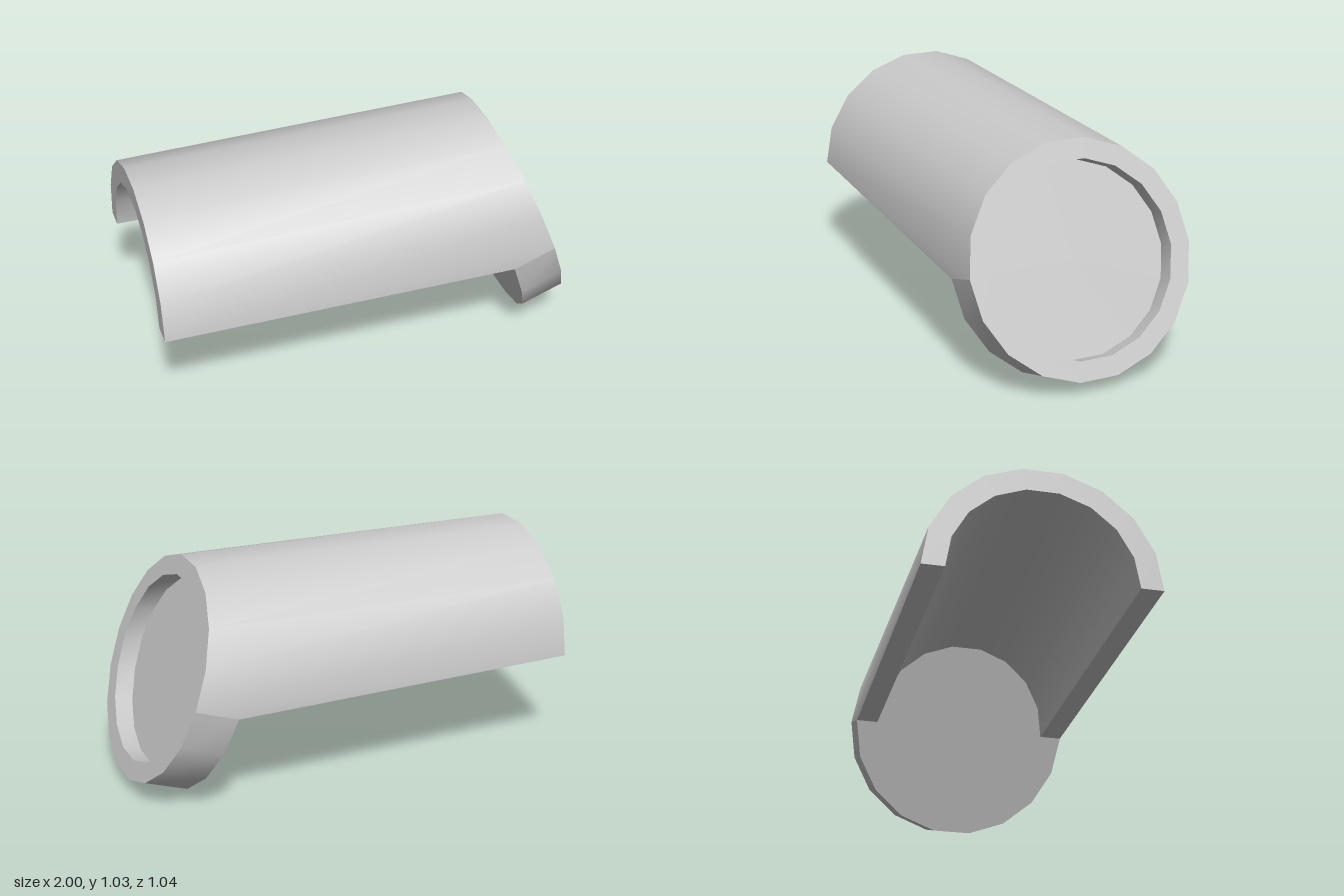
import * as THREE from 'three';
import { toCreasedNormals } from 'three/addons/utils/BufferGeometryUtils.js';

const SIDES = 18, HALF = SIDES / 2;
const OUTER = 0.52, TROUGH_INNER = 0.418, RECESS = 0.43;
const TILT = THREE.MathUtils.degToRad(20);
const axis = new THREE.Vector3(Math.cos(TILT), Math.sin(TILT), 0);
const frontCentre = new THREE.Vector3(0.823, 0.552, 0);
const backCentre = frontCentre.clone().addScaledVector(axis, -0.207);
const floorCentre = frontCentre.clone().addScaledVector(axis, -0.088);
const leftCentre = new THREE.Vector3(-1, 0.49, 0);

// Points of an 18-sided ring, from +z over the top to -z and back underneath
function arc(centre, radius, tilt, from, to) {
  const points = [];
  for (let i = from; i <= to; i++) {
    const a = (i / SIDES) * Math.PI * 2;
    const h = radius * Math.sin(a);
    points.push(new THREE.Vector3(
      centre.x - h * Math.sin(tilt),
      centre.y + h * Math.cos(tilt),
      centre.z + radius * Math.cos(a)
    ));
  }
  return points;
}

// Collects faces and turns them into a mesh with sharp creases
function surface() {
  const tris = [];
  const tri = (a, b, c) => {
    if (a.equals(b) || b.equals(c) || c.equals(a)) return;
    tris.push(a, b, c);
  };
  const quad = (a, b, c, d) => { tri(a, b, c); tri(a, c, d); };
  const strip = (A, B) => {
    for (let i = 0; i < A.length - 1; i++) quad(A[i], B[i], B[i + 1], A[i + 1]);
  };
  const mesh = (name) => {
    const geometry = toCreasedNormals(new THREE.BufferGeometry().setFromPoints(tris), 0.6);
    const m = new THREE.Mesh(geometry, new THREE.MeshStandardMaterial({ color: 0xcccccc }));
    m.name = name;
    return m;
  };
  return { tri, quad, strip, mesh };
}

// Half-pipe running from the open end to the tilted head
function makeTrough() {
  const s = surface();
  const leftOut = arc(leftCentre, OUTER, 0, 0, HALF);
  const leftIn = arc(leftCentre, TROUGH_INNER, 0, 0, HALF);
  const frontOut = arc(frontCentre, OUTER, TILT, 0, HALF);
  const backOut = arc(backCentre, OUTER, TILT, 0, HALF);
  const backIn = arc(backCentre, TROUGH_INNER, TILT, 0, HALF);
  const n = HALF;

  s.strip(leftOut, frontOut); // outside
  s.strip(backIn, leftIn);    // hollow underside
  s.strip(leftIn, leftOut);   // open end

  // side slivers joining the head
  s.tri(leftOut[0], backOut[0], frontOut[0]);
  s.tri(leftOut[n], frontOut[n], backOut[n]);

  // lower lips
  s.quad(leftOut[0], leftIn[0], backIn[0], backOut[0]);
  s.quad(leftOut[n], backOut[n], backIn[n], leftIn[n]);
  return s.mesh('trough');
}

// Tilted disc with a shallow round recess in its face
function makeHead() {
  const s = surface();
  const rim = arc(frontCentre, OUTER, TILT, 0, SIDES);
  const recessRim = arc(frontCentre, RECESS, TILT, 0, SIDES);
  const recessFloor = arc(floorCentre, RECESS, TILT, 0, SIDES);
  const lowerBack = arc(backCentre, OUTER, TILT, HALF, SIDES);
  const upperBack = arc(backCentre, TROUGH_INNER, TILT, 0, HALF);

  s.strip(lowerBack, rim.slice(HALF)); // exposed lower edge
  s.strip(rim, recessRim);             // front ring
  s.strip(recessRim, recessFloor);     // recess wall
  s.strip(recessFloor, recessFloor.map(() => floorCentre));

  // back, narrower where the trough covers it
  for (const edge of [upperBack, lowerBack]) s.strip(edge.map(() => backCentre), edge);
  return s.mesh('head');
}

export function createModel() {
  const group = new THREE.Group();
  group.name = 'troughWithHead';
  group.add(makeTrough(), makeHead());
  return group;
}
